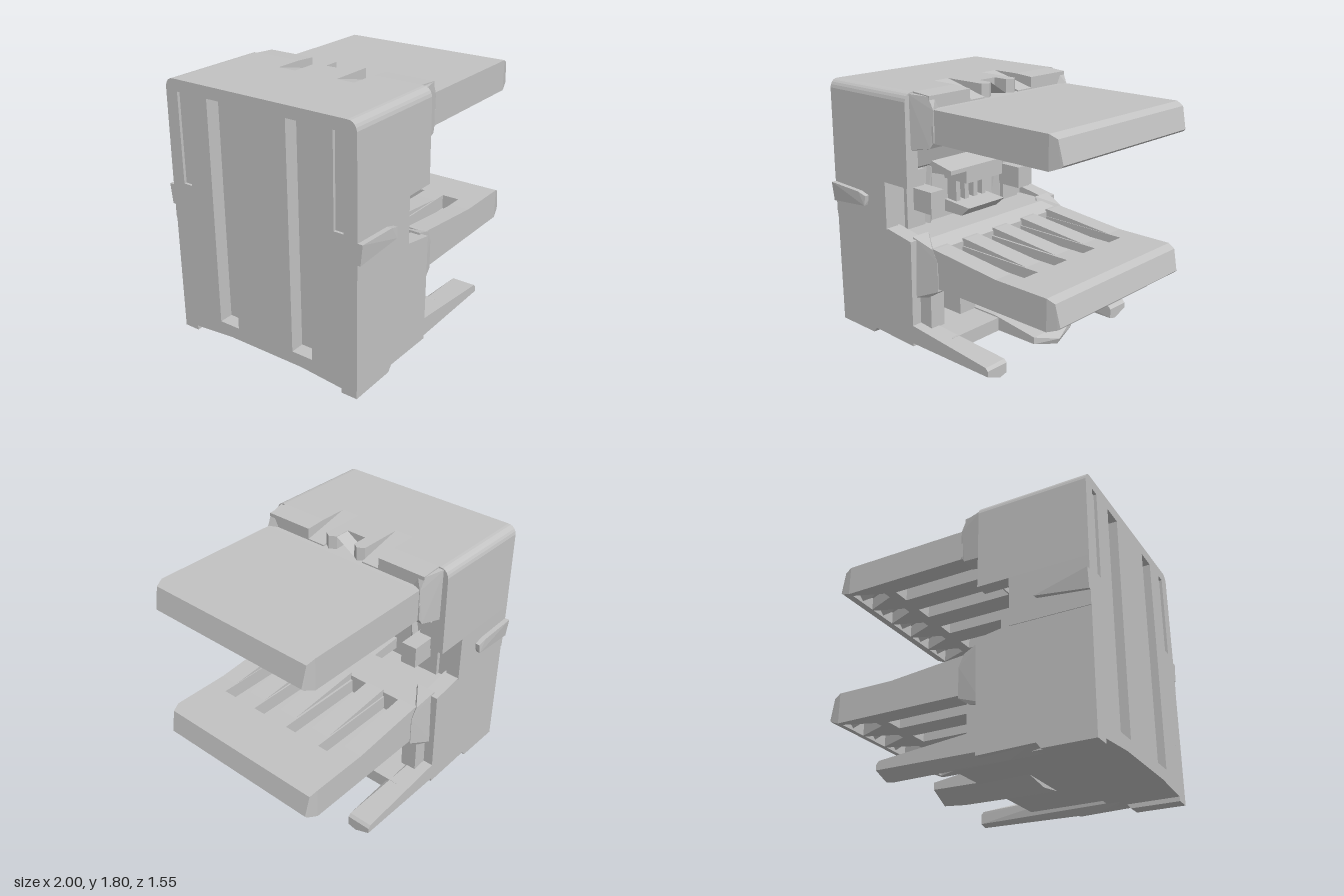
import * as THREE from 'three';
import { ConvexGeometry } from 'three/addons/geometries/ConvexGeometry.js';

export function createModel() {
  const model = new THREE.Group();
  const grey = new THREE.MeshStandardMaterial({ color: 0xc2c2c2 });
  grey.name = 'plain grey';

  const add = (name, geometry) => {
    const mesh = new THREE.Mesh(geometry, grey);
    mesh.name = name;
    model.add(mesh);
  };
  const box = (name, x0, x1, y0, y1, z0, z1) =>
    add(name, new THREE.BoxGeometry(x1 - x0, y1 - y0, z1 - z0)
      .translate((x0 + x1) / 2, (y0 + y1) / 2, (z0 + z1) / 2));
  // Convex solid around a few corners; side -1 mirrors it to the right
  const hull = (name, pts, side = 1) =>
    add(name, new ConvexGeometry(pts.map(([x, y, z]) => new THREE.Vector3(x, y, side * z))));
  const shapeOf = (pts) => new THREE.Shape(pts.map((p) => new THREE.Vector2(...p)));
  const pathOf = (pts) => new THREE.Path(pts.map((p) => new THREE.Vector2(...p)));
  const extrude = (shape, depth) => new THREE.ExtrudeGeometry(shape, { depth, bevelEnabled: false, curveSegments: 5 });
  // Side profile (x, y) swept across z
  const alongZ = (name, pts, z0, z1) => add(name, extrude(shapeOf(pts), z1 - z0).translate(0, 0, z0));
  // Plan outline (x, z) swept up y
  const alongY = (name, shape, y0, y1) =>
    add(name, extrude(shape, y1 - y0).rotateX(-Math.PI / 2).translate(0, y0, 0));
  // End outline (z, y) swept along x
  const alongX = (name, shape, x0, x1) =>
    add(name, extrude(shape, x1 - x0).rotateY(Math.PI / 2).translate(x0, 0, 0));
  const sides = (fn) => [1, -1].forEach(fn);
  const mirrorBox = (name, x0, x1, y0, y1, z0, z1) => sides((s) =>
    box(name, x0, x1, y0, y1, Math.min(s * z0, s * z1), Math.max(s * z0, s * z1)));

  // Upper housing: each half is a wall curving into the roof, which stops at roofZ
  const housingHalf = (s, roofZ) => {
    const h = new THREE.Shape();
    h.moveTo(s * roofZ, 1.72);
    h.lineTo(s * 0.64, 1.72);
    h.lineTo(s * 0.64, 1.17);
    h.lineTo(s * 0.74, 1.17);
    h.lineTo(s * 0.735, 1.74);
    h.quadraticCurveTo(s * 0.725, 1.8, s * 0.67, 1.8);
    h.lineTo(s * roofZ, 1.8);
    return h;
  };
  sides((s) => {
    alongX('upperHousing', housingHalf(s, 0), -1, -0.42);
    alongX('upperHousingFront', housingHalf(s, 0.3), -0.42, -0.22);
  });

  // Lower side walls, clip windows and side catches
  mirrorBox('middleWall', -1, -0.45, 0.83, 1.17, 0.64, 0.74);
  sides((s) => {
    const z0 = s > 0 ? 0.62 : -0.735;
    alongZ('lowerWall', [[-1, 0], [-0.65, 0], [-0.62, 0.04], [-0.22, 0.03], [-0.21, 0.8],
      [-0.45, 0.84], [-1, 0.84]], z0, z0 + 0.115);
    hull('sideCatch', [[-1, 0.93, 0.7], [-0.65, 0.97, 0.7], [-0.63, 1.04, 0.7], [-0.7, 1.06, 0.7], [-1, 1.07, 0.7],
      [-1, 0.93, 0.76], [-0.64, 0.97, 0.775], [-0.63, 1.04, 0.77], [-0.7, 1.06, 0.775], [-1, 1.07, 0.775]], s);
  });

  // Core block with long grooves down the back, closed by a sill at the foot
  const half = [[-0.64, -0.98], [-0.39, -0.98], [-0.39, -0.9], [-0.23, -0.9], [-0.23, -1]];
  const outline = [...half.map(([z, x]) => [x, z]), ...half.map(([z, x]) => [x, -z]).reverse()];
  alongY('core', shapeOf([...outline, [-0.47, 0.64], [-0.47, -0.64]]), 0.07, 1.74);
  alongX('sill', shapeOf([[-0.64, 0.03], [-0.3, 0.06], [0.3, 0.06], [0.64, 0.03], [0.64, 0.15], [-0.64, 0.15]]), -1, -0.5);
  mirrorBox('backStrip', -1, -0.97, 0.1, 1.1, 0.39, 0.65);
  mirrorBox('backStripUpper', -1, -0.97, 1.1, 1.74, 0.39, 0.57);

  // Two plug tongues with slots and wedge-shaped pockets near the tip
  const slotZ = [-0.44, -0.15, 0.15, 0.44];
  const plan = (slots, pockets) => {
    const s = shapeOf([[-0.1, -0.65], [0.91, -0.65], [0.91, 0.65], [-0.1, 0.65]]);
    if (slots) slotZ.forEach((z) =>
      s.holes.push(pathOf([[-0.09, z - 0.065], [-0.09, z + 0.065], [0.6, z + 0.065], [0.6, z - 0.065]])));
    if (pockets) [-0.5, -0.25, 0, 0.25, 0.5].forEach((z) =>
      s.holes.push(pathOf([[0.9, z - 0.115], [0.68, z - 0.03], [0.68, z + 0.03], [0.9, z + 0.115]])));
    return s;
  };
  [1, 0].forEach((y) => {
    const tag = y ? 'upper' : 'lower';
    alongY(tag + 'TongueUnderside', plan(true, true), y + 0.485, y + 0.58);
    alongY(tag + 'TongueMiddle', plan(false, false), y + 0.58, y + 0.6);
    alongY(tag + 'TongueTop', plan(!y, false), y + 0.6, y + 0.705);
    const tip = [];
    sides((s) => tip.push([0.91, y + 0.485, s * 0.65], [0.91, y + 0.705, s * 0.65],
      [0.965, y + 0.68, s * 0.635], [1, y + 0.53, s * 0.625], [0.985, y + 0.515, s * 0.63]));
    hull(tag + 'TongueTip', tip);
    // Sloped teeth inside each pocket
    [-0.5, -0.25, 0, 0.25, 0.5].forEach((z) => hull('pocketTooth', [
      [0.9, y + 0.585, z - 0.11], [0.9, y + 0.585, z + 0.11], [0.9, y + 0.5, z], [0.74, y + 0.585, z]]));
  });

  // Lower tongue ribs sloping away from the housing
  [-0.58, -0.295, 0, 0.295, 0.58].forEach((z) =>
    alongZ('slopedRib', [[-0.1, 0.7], [0.5, 0.704], [-0.08, 0.76], [-0.1, 0.76]], z - 0.07, z + 0.07));

  // Collars joining the tongues to the housing, the upper one slotted underneath
  alongZ('upperCollar', [[-0.47, 1.2], [-0.44, 1.22], [-0.38, 1.4], [-0.34, 1.58], [-0.06, 1.58], [-0.04, 1.705],
    [-0.47, 1.72]], -0.655, 0.655);
  [-0.58, -0.295, 0, 0.295, 0.58].forEach((z) =>
    alongZ('collarRib', [[-0.4, 1.4], [-0.3, 1.41], [-0.16, 1.48], [-0.04, 1.49], [-0.04, 1.6], [-0.4, 1.6]],
      z - 0.08, z + 0.08));
  alongZ('lowerCollar', [[-0.47, 0.46], [-0.09, 0.48], [-0.09, 0.74], [-0.2, 0.79],
    [-0.47, 0.79]], -0.655, 0.655);
  sides((s) => {
    hull('collarCheek', [[-0.24, 1.42, 0.55], [-0.2, 1.42, 0.67], [-0.07, 1.45, 0.665], [-0.04, 1.5, 0.655],
      [-0.04, 1.7, 0.655], [-0.08, 1.785, 0.66], [-0.23, 1.79, 0.7], [-0.23, 1.79, 0.6], [-0.08, 1.785, 0.6],
      [-0.04, 1.5, 0.55], [-0.07, 1.45, 0.55], [-0.24, 1.42, 0.7]], s);
    hull('lowerCheek', [[-0.24, 0.38, 0.55], [-0.13, 0.4, 0.66], [-0.04, 0.465, 0.655], [-0.04, 0.68, 0.655],
      [-0.08, 0.76, 0.66], [-0.24, 0.82, 0.69], [-0.24, 0.82, 0.55], [-0.24, 0.38, 0.7], [-0.04, 0.465, 0.55]], s);
    // Roof pieces beside the slots, with a sloped slot floor between
    const z0 = s > 0 ? 0.3 : -0.66;
    alongZ('roofFront', [[-0.22, 1.7], [-0.07, 1.7], [-0.07, 1.79], [-0.22, 1.8]], z0, z0 + 0.36);
    const r0 = s > 0 ? 0.165 : -0.3;
    alongZ('slotRamp', [[-0.42, 1.7], [-0.07, 1.7], [-0.07, 1.715], [-0.42, 1.8]], r0, r0 + 0.135);
    hull('pointedRib', [1.7, 1.8].flatMap((y) => [[-0.21, y, 0.165], [-0.1, y, 0.165],
      [-0.07, y, 0.12], [-0.1, y, 0.075], [-0.21, y, 0.075]]), s);
  });
  alongY('roofCentre', shapeOf([[-0.42, -0.165], [-0.21, -0.165], [-0.21, 0.165], [-0.42, 0.165]]), 1.7, 1.8);
  hull('roofPit', [[-0.21, 1.7, 0.08], [-0.21, 1.7, -0.08], [-0.21, 1.8, 0.08], [-0.1, 1.7, -0.08], [-0.1, 1.8, 0.08]]);

  // Socket details between the tongues
  box('upperJaw', -0.48, -0.24, 1.08, 1.17, -0.18, 0.18);
  hull('lowerJaw', [-0.18, 0.18].flatMap((z) => [[-0.48, 0.83, z], [-0.3, 0.83, z], [-0.22, 0.9, z], [-0.48, 0.92, z]]));
  hull('jawHood', [-0.33, 0.33].flatMap((z) => [[-0.48, 1.15, z], [-0.24, 1.17, z], [-0.24, 1.2, z], [-0.48, 1.25, z]]));
  sides((s) => hull('jawCheek', [[-0.48, 1.2, 0.3], [-0.48, 1.2, 0.35], [-0.43, 1.2, 0.33],
    [-0.48, 0.79, 0.3], [-0.48, 0.79, 0.39], [-0.43, 0.79, 0.36]], s));
  mirrorBox('guideBlock', -0.47, -0.26, 0.92, 1.08, 0.38, 0.5);
  [-0.13, -0.045, 0.045, 0.13].forEach((z) => box('contact', -0.48, -0.38, 0.9, 1.08, z - 0.02, z + 0.02));
  mirrorBox('guidePillar', -0.48, -0.44, 0.79, 1.2, 0.4, 0.56);

  // Supports under the lower tongue
  mirrorBox('cornerPost', -0.22, -0.11, 0.17, 0.42, 0.54, 0.66);
  mirrorBox('supportFin', -0.48, -0.16, 0.13, 0.47, 0.19, 0.34);
  const post = [];
  [-0.48, -0.16].forEach((x) => sides((s) => post.push([x, 0.47, s * 0.05], [x, 0.16, s * 0.13])));
  hull('centrePost', post);

  // Base plate, keeled centre tab and two long feet
  box('basePlate', -0.6, 0.08, 0.06, 0.16, -0.64, 0.64);
  const tab = [];
  sides((s) => tab.push([-0.3, 0.17, s * 0.2], [0.05, 0.17, s * 0.2], [0.42, 0.12, s * 0.2], [0.42, 0.07, s * 0.2],
    [-0.3, 0.06, s * 0.2]));
  hull('centreTab', [...tab, [0.48, 0.06, 0], [0.46, 0.015, 0], [-0.3, 0.03, 0]]);
  sides((s) => hull('foot', [[-0.25, 0.19, 0.735], [-0.25, 0.19, 0.6], [0.48, 0.12, 0.735], [0.48, 0.12, 0.56],
    [0.5, 0.1, 0.735], [0.5, 0.1, 0.56], [0.5, 0.06, 0.735], [0.5, 0.015, 0.62], [0.5, 0.03, 0.56],
    [-0.62, 0.05, 0.735], [-0.62, 0.04, 0.55], [-0.4, 0.005, 0.64], [-0.25, 0.14, 0.54]], s));

  return model;
}
